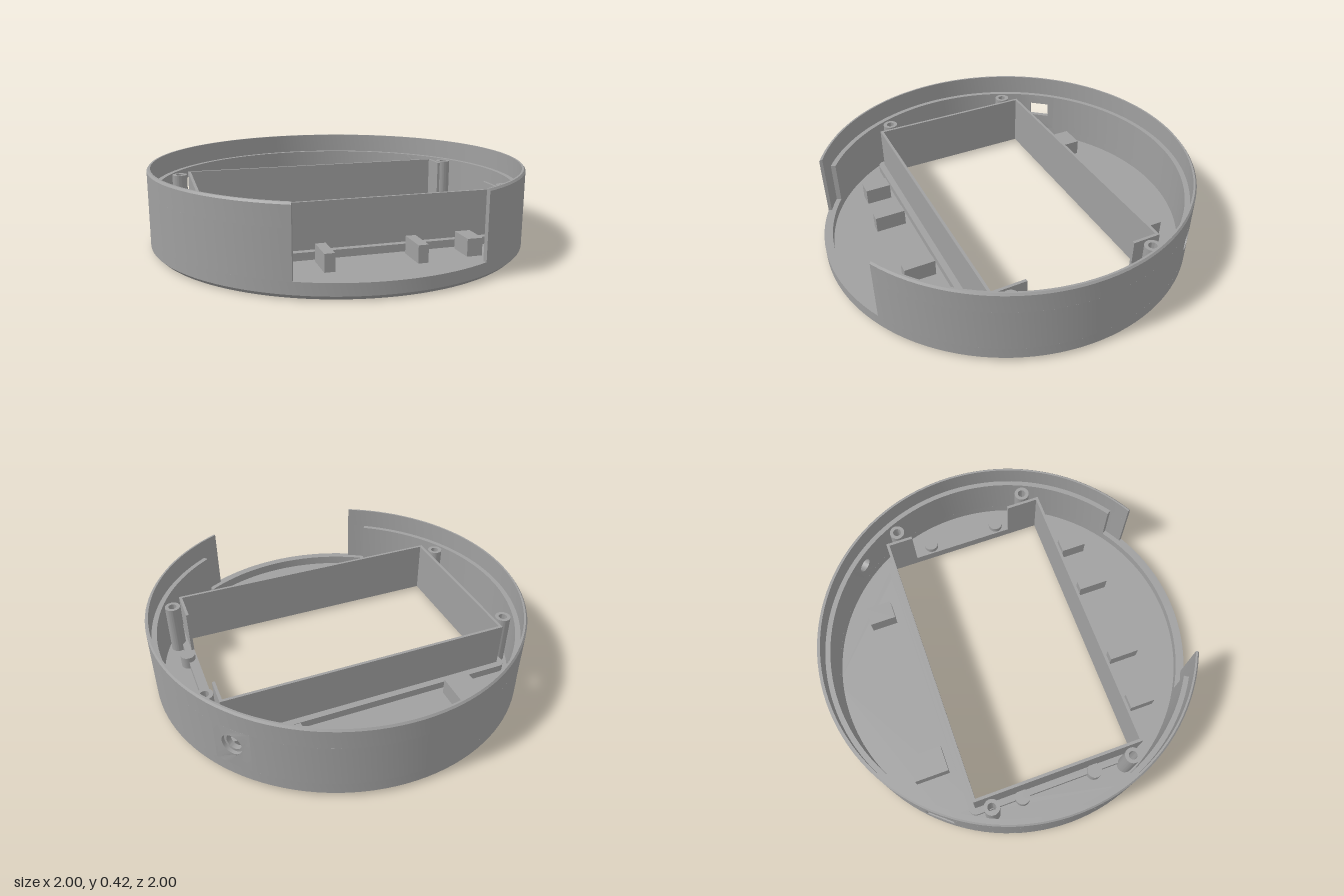
import * as THREE from 'three';
import { mergeGeometries, toCreasedNormals } from 'three/addons/utils/BufferGeometryUtils.js';

const TAU = Math.PI * 2;
const R_OUT = 1, R_STEP = 0.982, R_IN = 0.955;
const FLOOR = 0.03, LIP = 0.08, LEDGE = 0.31, TOP = 0.42;

const vec = (pts) => pts.map(([x, y]) => new THREE.Vector2(x, y));

// Closed ring profile (r, y), counter-clockwise, swept from angle a to b (0 = front)
function arc(profile, a = 0, b = TAU) {
  const pts = vec([...profile, profile[0]]);
  const parts = [new THREE.LatheGeometry(pts, Math.max(4, Math.round(((b - a) / TAU) * 120)), a, b - a)];
  if (b - a < TAU - 0.01) {
    for (const phi of [a, b]) {
      parts.push(new THREE.ShapeGeometry(new THREE.Shape(vec(profile))).rotateY(phi - Math.PI / 2));
    }
  }
  return toCreasedNormals(mergeGeometries(parts), 0.5);
}

const band = (r0, r1, y0, y1) => [[r0, y0], [r1, y0], [r1, y1], [r0, y1]];

function rect(w, h, r = 0, cx = 0, cy = 0, T = THREE.Shape) {
  const s = new T(), x = w / 2, y = h / 2;
  if (!r) return s.setFromPoints(vec([[cx - x, cy - y], [cx + x, cy - y], [cx + x, cy + y], [cx - x, cy + y]]));
  s.absarc(cx + x - r, cy + y - r, r, 0, TAU / 4);
  s.absarc(cx - x + r, cy + y - r, r, TAU / 4, TAU / 2);
  s.absarc(cx - x + r, cy - y + r, r, TAU / 2, TAU * 0.75);
  s.absarc(cx + x - r, cy - y + r, r, TAU * 0.75, TAU);
  return s;
}

const circle = (r, cx = 0, cy = 0) => new THREE.Shape().absarc(cx, cy, r, 0, TAU);

// Horizontal slab from a plan outline, with holes
function slab(shape, y0, y1, holes = [], curveSegments = 24) {
  shape.holes.push(...holes);
  const g = new THREE.ExtrudeGeometry(shape, { depth: y1 - y0, bevelEnabled: false, curveSegments });
  return toCreasedNormals(g.rotateX(-Math.PI / 2).translate(0, y0, 0), 0.5);
}

// Wall panel with a hole, bent around the vertical axis at angle phi
function bentPanel(phi, half, r0, r1, hole) {
  const n = 6, outline = [];
  for (let i = 0; i <= n; i++) outline.push([-half + (2 * half * i) / n, LIP]);
  for (let i = n; i >= 0; i--) outline.push([-half + (2 * half * i) / n, LEDGE]);
  const shape = new THREE.Shape(vec(outline));
  shape.holes.push(hole);
  const g = new THREE.ExtrudeGeometry(shape, { depth: r1 - r0, bevelEnabled: false, curveSegments: 20 });
  const p = g.attributes.position;
  for (let i = 0; i < p.count; i++) {
    const a = phi + p.getX(i), r = r0 + p.getZ(i);
    p.setXYZ(i, r * Math.sin(a), p.getY(i), r * Math.cos(a));
  }
  g.computeVertexNormals();
  return toCreasedNormals(g, 0.5);
}

export function createModel() {
  const model = new THREE.Group();
  model.name = 'roundDisplayHousing';
  const grey = new THREE.MeshStandardMaterial({ color: 0xa0a0a0, side: THREE.DoubleSide });
  grey.name = 'plain grey';

  const add = (name, geometry, parent = model) => {
    const m = new THREE.Mesh(geometry, grey);
    m.name = name;
    parent.add(m);
    return m;
  };
  const box = (name, x0, x1, y0, y1, z0, z1, parent) =>
    add(name, new THREE.BoxGeometry(x1 - x0, y1 - y0, z1 - z0)
      .translate((x0 + x1) / 2, (y0 + y1) / 2, (z0 + z1) / 2), parent);

  // Floor: lower layer with bevelled window and shallow foot recesses, closed upper layer
  const feet = [0, 1, 2, 3].map((i) => {
    const a = (40 * Math.PI) / 180 + (i * TAU) / 4;
    return circle(0.055, 0.915 * Math.cos(a), -0.915 * Math.sin(a));
  });
  add('floorUnderside', slab(circle(0.98), 0, 0.015, [rect(1.56, 0.95), ...feet], 96));
  add('floor', slab(circle(0.98), 0.015, FLOOR, [rect(1.5, 0.89)], 96));

  // Base ring with chamfered foot and low front lip
  add('baseRing', arc([[R_IN, 0.015], [0.98, 0.015], [0.98, 0], [R_OUT, 0.02], [R_OUT, LIP], [R_IN, LIP]]));

  // Outer wall: full ring except the front gap, with two port panels
  const wall = new THREE.Group();
  wall.name = 'outerWall';
  model.add(wall);
  const gap = Math.asin(0.45), innerGap = Math.asin(0.52 / R_IN);
  const portR = 2.268, portL = TAU - portR, half = 0.1;
  add('upperRim', arc([[R_STEP, LEDGE], [R_OUT, LEDGE], [R_OUT, TOP - 0.01], [0.992, TOP], [R_STEP, TOP]],
    gap, TAU - gap), wall);
  for (const [name, r0, r1, start] of [
    ['outerSkin', R_STEP, R_OUT, gap],
    ['innerSkin', R_IN, R_STEP, innerGap],
  ]) {
    const stops = [start, portR - half, portR + half, portL - half, portL + half, TAU - start];
    for (let i = 0; i < 6; i += 2) add(name, arc(band(r0, r1, LIP, LEDGE), stops[i], stops[i + 1]), wall);
  }
  const portY = 0.21;
  add('roundPortRecess', bentPanel(portR, half, R_STEP, R_OUT, circle(0.056, 0, portY)), wall);
  add('roundPortHole', bentPanel(portR, half, R_IN, R_STEP, circle(0.042, 0, portY)), wall);
  add('squarePortRecess', bentPanel(portL, half, R_STEP, R_OUT, rect(0.15, 0.12, 0, 0, portY)), wall);
  add('squarePortHole', bentPanel(portL, half, R_IN, R_STEP, rect(0.12, 0.085, 0, 0, portY)), wall);

  // Window frame: low rounded plinth, tall thin walls, notch on the +x side
  const frame = new THREE.Group();
  frame.name = 'windowFrame';
  model.add(frame);
  add('plinth', slab(rect(1.6, 0.99, 0.04), FLOOR, 0.07, [rect(1.5, 0.89)]), frame);
  const X0 = 0.75, X1 = 0.765, Z0 = 0.445, Z1 = 0.46;
  box('frontWall', -X1, X1, FLOOR, LEDGE, Z0, Z1, frame);
  box('backWall', -X1, X1, FLOOR, LEDGE, -Z1, -Z0, frame);
  box('rightSideWall', -X1, -X0, FLOOR, LEDGE, -Z0, Z0, frame);
  box('leftSideWallBack', X0, X1, FLOOR, LEDGE, -Z0, -0.31, frame);
  box('leftSideWallFront', X0, X1, FLOOR, LEDGE, 0.27, Z0, frame);

  // Screw posts and short locating pegs on both sides of the window
  for (const sx of [-1, 1]) {
    for (const sz of [-1, 1]) {
      add('screwPost', slab(circle(0.041), FLOOR, LEDGE, [circle(0.022)]))
        .position.set(sx * 0.817, 0, sz * 0.38);
      add('locatingPeg', new THREE.CylinderGeometry(0.04, 0.04, 0.07, 24))
        .position.set(sx * 0.798, 0.065, sz * 0.205);
    }
    // Support blocks behind the front gap
    box('outerSupportBlock', sx * 0.513 - 0.04, sx * 0.513 + 0.04, FLOOR, 0.12, 0.52, 0.66);
    box('innerSupportBlock', sx * 0.23 - 0.026, sx * 0.23 + 0.026, FLOOR, 0.12, 0.525, 0.69);
  }

  // Rear blocks by the ports
  box('rearBlockRight', -0.535, -0.395, FLOOR, 0.12, -0.715, -0.53);
  box('rearBlockLeft', 0.405, 0.51, FLOOR, 0.12, -0.69, -0.545);

  return model;
}
